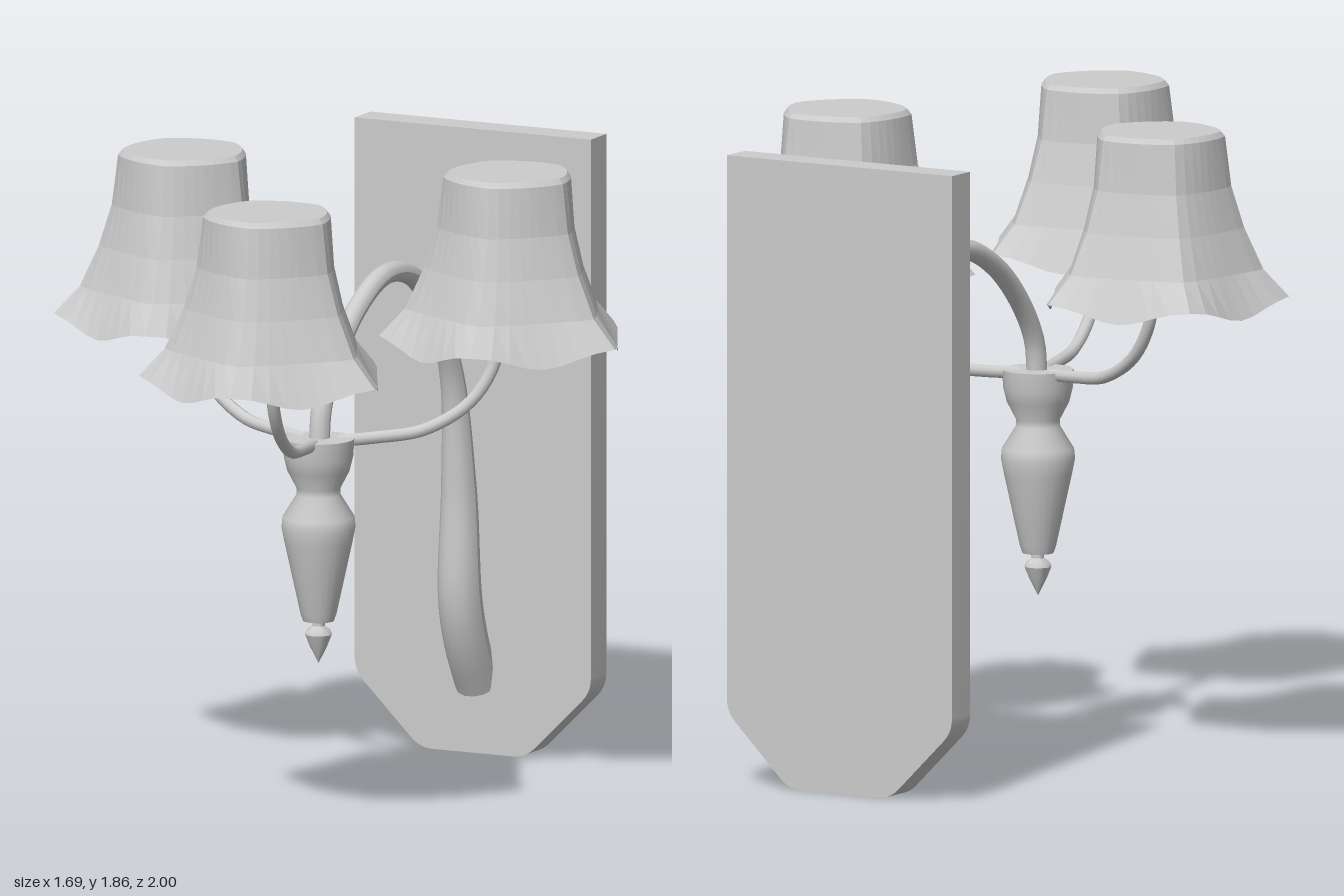
import * as THREE from 'three';
import { toCreasedNormals } from 'three/addons/utils/BufferGeometryUtils.js';

const HUB = { x: 0.045, z: 0.095 };
const smooth = new THREE.MeshStandardMaterial({ color: 0xcccccc });
const faceted = new THREE.MeshStandardMaterial({ color: 0xcccccc, flatShading: true, side: THREE.DoubleSide });

const v3 = (p) => new THREE.Vector3(...p);
const v2 = (p) => new THREE.Vector2(...p);

function addMesh(parent, name, geometry, material = smooth) {
  const mesh = new THREE.Mesh(geometry, material);
  mesh.name = name;
  parent.add(mesh);
  return mesh;
}

// Backplate: tall slab with cut, softly rounded lower corners
function backplateGeometry() {
  const pts = [[-0.335, 1.83], [-0.335, 0.21], [-0.125, 0], [0.215, 0], [0.425, 0.21], [0.425, 1.83]].map(v2);
  const shape = new THREE.Shape();
  shape.moveTo(pts[0].x, pts[0].y);
  for (let i = 1; i < 5; i++) {
    const p = pts[i];
    const before = p.clone().add(pts[i - 1].clone().sub(p).setLength(0.04));
    const after = p.clone().add(pts[i + 1].clone().sub(p).setLength(0.04));
    shape.lineTo(before.x, before.y);
    shape.quadraticCurveTo(p.x, p.y, after.x, after.y);
  }
  shape.lineTo(pts[5].x, pts[5].y);
  shape.closePath();
  const geo = new THREE.ExtrudeGeometry(shape, { depth: 0.1, bevelEnabled: false, curveSegments: 5 });
  geo.translate(0, 0, -1);
  return toCreasedNormals(geo, 0.6);
}

// Tube whose radius follows radiusAt(t) along the path
function taperedTube(points, segments, sides, radiusAt) {
  const curve = new THREE.CatmullRomCurve3(points.map(v3));
  const geo = new THREE.TubeGeometry(curve, segments, 1, sides);
  const pos = geo.attributes.position;
  const p = new THREE.Vector3();
  for (let i = 0; i < pos.count; i++) {
    const t = Math.floor(i / (sides + 1)) / segments;
    const c = curve.getPointAt(t);
    p.fromBufferAttribute(pos, i).sub(c).multiplyScalar(radiusAt(t)).add(c);
    pos.setXYZ(i, p.x, p.y, p.z);
  }
  geo.computeVertexNormals();
  return geo;
}

// Shade: a flared lathe squeezed into a soft pentagon with a wavy hem
function shadeGeometry() {
  const profile = [[0.375, 1.358], [0.3, 1.46], [0.245, 1.58], [0.208, 1.7], [0.19, 1.845], [0.178, 1.86], [0, 1.86]];
  const geo = new THREE.LatheGeometry(profile.map(v2), 40);
  const pos = geo.attributes.position;
  const step = Math.PI * 0.4;
  const corner = THREE.MathUtils.degToRad(9);
  for (let i = 0; i < pos.count; i++) {
    const x = pos.getX(i), y = pos.getY(i), z = pos.getZ(i);
    const a = Math.atan2(z, x) - corner;
    const off = Math.abs(a - Math.round(a / step) * step);
    const pentagon = Math.min(1, Math.cos(step / 2) / Math.cos(step / 2 - off) / 0.97);
    const drop = THREE.MathUtils.clamp((1.86 - y) / 0.45, 0, 1);
    const k = THREE.MathUtils.lerp(1, pentagon, 0.35 + 0.65 * drop);
    const hem = y < 1.4 ? 0.022 * Math.cos(5 * a) : 0;
    pos.setXYZ(i, x * k, y + hem, z * k);
  }
  return geo;
}

export function createModel() {
  const group = new THREE.Group();
  addMesh(group, 'backplate', backplateGeometry());

  // Main arm: arches from the hub to the plate and thickens at its foot
  const path = [
    [1.08, 0.09], [1.18, 0.075], [1.31, -0.01], [1.43, -0.15], [1.5, -0.33], [1.465, -0.51], [1.34, -0.65],
    [1.13, -0.765], [0.8, -0.81], [0.47, -0.818], [0.33, -0.86], [0.2, -0.93],
  ].map(([y, z]) => [HUB.x, y, z]);
  const grow = (t) => 0.03 + 0.035 * THREE.MathUtils.smoothstep(t, 0.45, 0.92);
  addMesh(group, 'mainArm', taperedTube(path, 60, 14, grow));

  // Turned hub with pointed finial
  const hubProfile = [
    [0, 0.435], [0.025, 0.485], [0.039, 0.52], [0.034, 0.533], [0.018, 0.545], [0.018, 0.555], [0.045, 0.56],
    [0.052, 0.58], [0.098, 0.79], [0.107, 0.835], [0.104, 0.865], [0.064, 0.93], [0.064, 0.95],
    [0.09, 1.0], [0.1, 1.04], [0.104, 1.095], [0, 1.095],
  ];
  const hub = addMesh(group, 'hub', toCreasedNormals(new THREE.LatheGeometry(hubProfile.map(v2), 24), 0.7));
  hub.position.set(HUB.x, 0, HUB.z);

  // Three lights: slim curved arm and shade each
  const shade = shadeGeometry();
  [[0.152, 0.63], [-0.49, -0.11], [0.5, -0.222]].forEach(([x, z], i) => {
    const light = new THREE.Group();
    light.name = `light${i + 1}`;
    group.add(light);
    const armPath = [[0.1, 1.085], [0.3, 1.092], [0.55, 1.11], [0.78, 1.18], [0.91, 1.28], [0.96, 1.4], [0.98, 1.52]]
      .map(([f, y]) => [THREE.MathUtils.lerp(HUB.x, x, f), y, THREE.MathUtils.lerp(HUB.z, z, f)]);
    addMesh(light, 'lightArm', taperedTube(armPath, 28, 10, () => 0.018));
    addMesh(light, 'shade', shade, faceted).position.set(x, 0, z);
  });
  return group;
}
